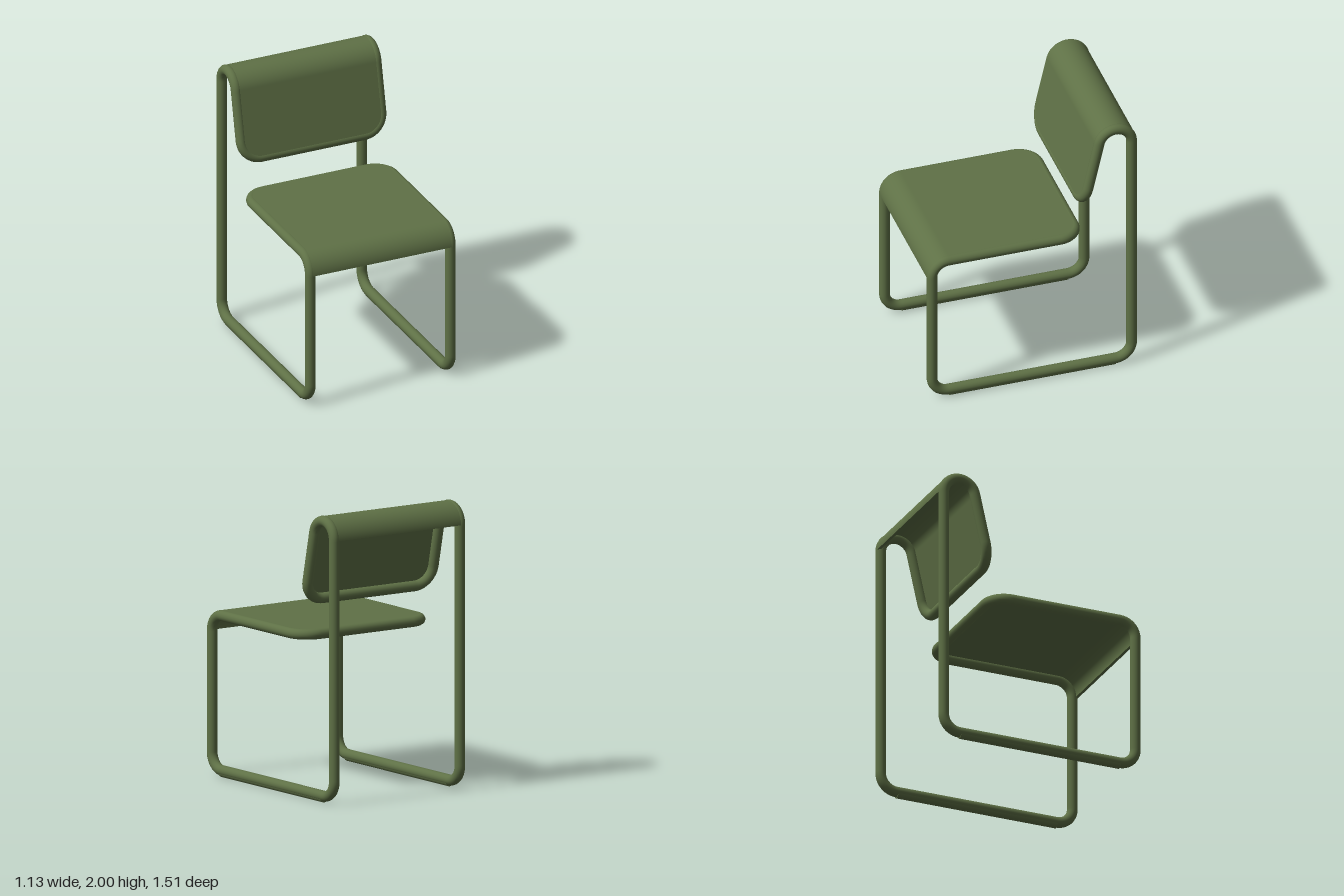
import * as THREE from 'three';

const V = (x, y, z) => new THREE.Vector3(x, y, z);
const TUBE_R = 0.037, HALF_W = 0.53, BEND = 0.118, CORNER = 0.14;

// Circular arc from centre + a to centre + b
class Bend extends THREE.Curve {
  constructor(centre, a, b) {
    super();
    Object.assign(this, { centre, a, b, angle: a.angleTo(b) });
  }
  getPoint(t, target = V(0, 0, 0)) {
    const s = Math.sin(this.angle);
    return target.copy(this.centre)
      .addScaledVector(this.a, Math.sin((1 - t) * this.angle) / s)
      .addScaledVector(this.b, Math.sin(t * this.angle) / s);
  }
}

// Straight runs joined by bends; nodes are [point, bend radius]
function bentPath(nodes, closed) {
  const path = new THREE.CurvePath(), n = nodes.length;
  const lineTo = (from, to) => {
    if (from.distanceTo(to) > 1e-3) path.add(new THREE.LineCurve3(from, to));
  };
  let first = null, last = null;
  nodes.forEach(([p, r], i) => {
    let start = p, end = p, bend = null;
    if (r) {
      const u = nodes[(i + n - 1) % n][0].clone().sub(p).normalize();
      const v = nodes[(i + 1) % n][0].clone().sub(p).normalize();
      const half = u.angleTo(v) / 2, t = r / Math.tan(half);
      start = p.clone().addScaledVector(u, t);
      end = p.clone().addScaledVector(v, t);
      const c = p.clone().addScaledVector(u.clone().add(v).normalize(), r / Math.sin(half));
      bend = new Bend(c, start.clone().sub(c), end.clone().sub(c));
    }
    if (last) lineTo(last, start);
    else first = start;
    if (bend) path.add(bend);
    last = end;
  });
  if (closed) lineTo(last, first);
  return path;
}

// Thin sheet swept along a side path, with rounded corners at its start
function sheet(path, side, outer, inner) {
  const rows = 160, length = path.getLength(), pos = [], index = [];
  const X = V(1, 0, 0);
  for (let i = 0; i <= rows; i++) {
    const p = path.getPointAt(i / rows);
    const normal = path.getTangentAt(i / rows).cross(X).multiplyScalar(side).normalize();
    const d = Math.max(0, CORNER - length * i / rows);
    const w = HALF_W - CORNER + Math.sqrt(CORNER * CORNER - d * d);
    const top = p.clone().addScaledVector(normal, outer);
    const low = p.clone().addScaledVector(normal, inner);
    const ring = [[-w, top], [w, top], [w, low], [-w, low]];
    // each of the four faces keeps its own vertices so edges stay sharp
    for (let k = 0; k < 4; k++) {
      for (const [x, q] of [ring[k], ring[(k + 1) % 4]]) pos.push(x, q.y, q.z);
      if (i < rows) {
        const a = i * 8 + k * 2, b = a + 8;
        if (side > 0) index.push(a, b, a + 1, a + 1, b, b + 1);
        else index.push(a, a + 1, b, a + 1, b + 1, b);
      }
    }
    // closing edge
    if (i === rows) {
      const e = pos.length / 3;
      for (const [x, q] of ring) pos.push(x, q.y, q.z);
      index.push(e, e + 1, e + 2, e, e + 2, e + 3);
    }
  }
  const g = new THREE.BufferGeometry();
  g.setAttribute('position', new THREE.Float32BufferAttribute(pos, 3));
  g.setIndex(index);
  g.computeVertexNormals();
  return g;
}

export function createModel() {
  const chair = new THREE.Group();
  chair.name = 'chair';
  const green = new THREE.MeshStandardMaterial({ color: 0x5f7146, side: THREE.DoubleSide });
  green.name = 'olive green';
  const add = (name, geometry) => {
    const mesh = new THREE.Mesh(geometry, green);
    mesh.name = name;
    chair.add(mesh);
    return mesh;
  };

  // One continuous bent tube: [y, z, bend radius] from seat rear to backrest bottom
  const profile = [
    [1.125, -0.345, CORNER], [1.125, 0.72, BEND], [0.045, 0.72, BEND],
    [0.045, -0.72, BEND], [1.963, -0.72, BEND], [1.963, -0.5075, BEND],
    [1.38, -0.377, CORNER],
  ];
  const sideNodes = (x) => profile.map(([y, z, r]) => [V(x, y, z), r]);
  const loop = bentPath([...sideNodes(HALF_W), ...sideNodes(-HALF_W).reverse()], true);
  loop.arcLengthDivisions = 3000;
  add('tubeFrame', new THREE.TubeGeometry(loop, 900, TUBE_R, 18, true));

  // Seat sheet, rolling over the front bend
  const seatPath = bentPath([
    [V(0, 1.125, -0.345), 0], [V(0, 1.125, 0.72), BEND], [V(0, 1.007, 0.72), 0],
  ]);
  add('seat', sheet(seatPath, 1, 0.036, 0.014));

  // Backrest sheet, rolling over the top bend
  const backPath = bentPath([
    [V(0, 1.38, -0.377), 0], [V(0, 1.963, -0.5075), BEND],
    [V(0, 1.963, -0.72), BEND], [V(0, 1.845, -0.72), 0],
  ]);
  add('backrest', sheet(backPath, -1, 0.034, 0.012));

  // Floor glides under the runners
  for (const [name, s] of [['leftGlide', 1], ['rightGlide', -1]]) {
    const glide = add(name, new THREE.CylinderGeometry(0.032, 0.032, 1.2, 18));
    glide.rotation.x = Math.PI / 2;
    glide.position.set(s * HALF_W, 0.032, 0);
  }
  return chair;
}
